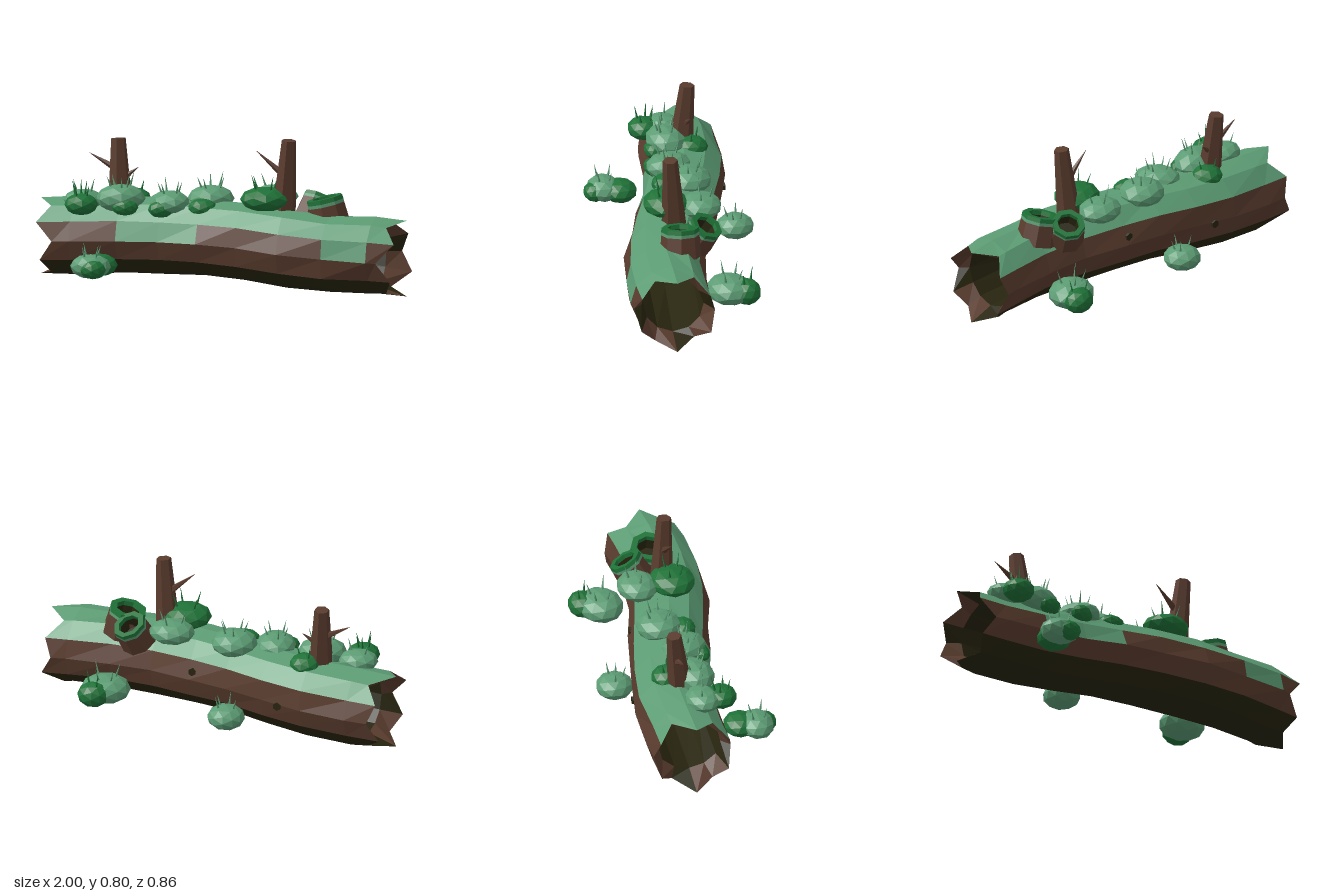
import * as THREE from 'three';

const mat = (name, color) => {
  const m = new THREE.MeshStandardMaterial({ color, flatShading: true });
  m.name = name;
  return m;
};

export function createModel() {
  const model = new THREE.Group();
  model.name = 'mossyLog';
  const bark = mat('bark brown', 0x5a3c2e);
  const dark = mat('dark wood', 0x28250f);
  const moss = mat('light moss', 0x5c9c74);
  const leaf = mat('dark moss', 0x1f7238);

  let seed = 7;
  const rand = () => (seed = (seed * 16807) % 2147483647) / 2147483647;
  const add = (parent, name, geo, material) => {
    const m = new THREE.Mesh(geo, material);
    m.name = name;
    parent.add(m);
    return m;
  };

  // Hollow log: twelve-sided rings along a gently winding centre line
  const SIDES = 12;
  const line = new THREE.CatmullRomCurve3([
    [-1, 0.225, -0.07], [-0.5, 0.247, -0.095], [0, 0.262, -0.015], [0.5, 0.235, 0.07], [1, 0.213, 0.03],
  ].map((p) => new THREE.Vector3(...p)));
  const ring = (r, xAt, jitter = 0) => Array.from({ length: SIDES }, (_, k) => {
    const x = xAt(k), a = (k / SIDES) * Math.PI * 2;
    const c = line.getPoint((x + 1) / 2);
    const rr = r + (rand() - 0.5) * jitter;
    return new THREE.Vector3(x, c.y + rr * Math.sin(a), c.z + rr * Math.cos(a) * 1.04);
  });
  const tooth = (side) => (k) => side * (k % 2 ? 1 - 0.02 * (k % 3) : 0.89 + 0.015 * (k % 4));
  const stations = [-0.8, -0.55, -0.32, -0.1, 0.12, 0.36, 0.6, 0.84];
  const outer = [ring(0.2, tooth(-1)), ...stations.map((x) => ring(0.203, () => x, 0.018)), ring(0.2, tooth(1))];
  const inner = [-0.85, -0.4, 0, 0.4, 0.85].map((x) => ring(0.155, () => x, 0.015));

  const buckets = new Map([[bark, []], [dark, []], [moss, []]]);
  const quad = (m, a, b, c, d) => [a, b, c, a, c, d].forEach((p) => buckets.get(m).push(p.x, p.y, p.z));
  const shell = (rings, pick, inward) => {
    for (let i = 0; i < rings.length - 1; i++) {
      for (let k = 0; k < SIDES; k++) {
        const n = (k + 1) % SIDES, p = rings[i], q = rings[i + 1];
        if (inward) quad(pick(i, k), p[k], p[n], q[n], q[k]);
        else quad(pick(i, k), p[k], q[k], q[n], p[n]);
      }
    }
  };
  // Moss over the top, hanging lower on the front in two patches; dark underside
  shell(outer, (i, k) => {
    if (k >= 1 && k <= 4) return moss;
    if (k === 0) return i === 2 || i === 3 || i === 7 ? moss : bark;
    return k >= 7 && k <= 10 ? dark : bark;
  }, false);
  shell(inner, () => dark, true);
  // Splintered rims joining outside and inside
  for (let k = 0; k < SIDES; k++) {
    const n = (k + 1) % SIDES, m = k % 3 === 2 ? dark : bark;
    const [lo, li, ro, ri] = [outer[0], inner[0], outer[outer.length - 1], inner[inner.length - 1]];
    quad(m, ro[k], ri[k], ri[n], ro[n]);
    quad(m, lo[k], lo[n], li[n], li[k]);
  }
  const log = new THREE.Group();
  log.name = 'log';
  model.add(log);
  for (const [m, pos] of buckets) {
    const g = new THREE.BufferGeometry();
    g.setAttribute('position', new THREE.Float32BufferAttribute(pos, 3));
    g.computeVertexNormals();
    add(log, m === bark ? 'logBark' : m === dark ? 'logDarkWood' : 'logMoss', g, m);
  }

  // Knots on the back
  for (const [x, y] of [[0.1, 0.3], [-0.42, 0.24]]) {
    const c = line.getPoint((x + 1) / 2);
    const knot = add(log, 'knot', new THREE.CylinderGeometry(0.022, 0.022, 0.02, 6), dark);
    knot.position.set(x, y, c.z - 0.2);
    knot.rotation.x = -Math.PI / 2;
  }

  // Tapered rod between two points
  const UP = new THREE.Vector3(0, 1, 0);
  const rod = (parent, name, from, to, r0, r1, sides, material) => {
    const a = new THREE.Vector3(...from), b = new THREE.Vector3(...to);
    const d = b.clone().sub(a);
    const m = add(parent, name, new THREE.CylinderGeometry(r1, r0, d.length(), sides), material);
    m.position.copy(a).add(b).multiplyScalar(0.5);
    m.quaternion.setFromUnitVectors(UP, d.normalize());
  };

  // Broken branches with thorns
  const branches = [
    { from: [-0.575, 0.4, -0.075], to: [-0.595, 0.75, -0.11], thorns: [[[-0.58, 0.58, -0.1], [-0.745, 0.67, -0.09]], [[-0.58, 0.53, -0.09], [-0.49, 0.6, -0.12]]] },
    { from: [0.33, 0.4, 0.01], to: [0.365, 0.807, 0.032], thorns: [[[0.35, 0.61, 0.02], [0.19, 0.745, 0.035]]] },
  ];
  for (const { from, to, thorns } of branches) {
    const g = new THREE.Group();
    g.name = 'branch';
    model.add(g);
    rod(g, 'branchStem', from, to, 0.065, 0.039, 6, bark);
    for (const [a, b] of thorns) rod(g, 'thorn', a, b, 0.024, 0.001, 5, bark);
  }

  // Hollow stumps, ringed with moss
  const stump = (x, y, z, s, rx, rz) => {
    const g = new THREE.Group();
    g.name = 'hollowStump';
    const lathe = (name, pts, m) =>
      add(g, name, new THREE.LatheGeometry(pts.map((p) => new THREE.Vector2(...p)), 8), m);
    lathe('stumpBark', [[0.108, -0.05], [0.1, 0.065]], bark);
    lathe('stumpLightBand', [[0.1, 0.065], [0.1, 0.082]], moss);
    lathe('stumpRim', [[0.1, 0.082], [0.098, 0.105], [0.066, 0.105], [0.064, 0.08]], leaf);
    lathe('stumpHollow', [[0.064, 0.08], [0.06, 0.02], [0, 0.02]], dark);
    g.position.set(x, y, z);
    g.scale.setScalar(s);
    g.rotation.set(rx, 0, rz);
    model.add(g);
  };
  stump(0.57, 0.405, -0.01, 1, 0, 0.24);
  stump(0.46, 0.405, -0.11, 0.9, -0.5, -0.25);

  // Moss cushions: centre, radii, light or dark, number of grass blades
  const cushions = [
    [-0.6, 0.14, 0.24, 0.095, 0.06, 0.09, leaf, 0],
    [-0.625, 0.145, 0.325, 0.108, 0.065, 0.09, moss, 4],
    [-0.6, 0.138, 0.37, 0.07, 0.052, 0.062, leaf, 0],
    [-0.75, 0.44, 0.01, 0.105, 0.055, 0.09, moss, 2],
    [-0.735, 0.432, 0.11, 0.088, 0.058, 0.085, leaf, 5],
    [-0.55, 0.455, 0.005, 0.13, 0.075, 0.105, moss, 5],
    [-0.51, 0.43, -0.13, 0.085, 0.06, 0.085, leaf, 2],
    [-0.51, 0.42, 0.07, 0.07, 0.045, 0.05, leaf, 0],
    [-0.285, 0.445, 0.005, 0.105, 0.063, 0.125, moss, 5],
    [-0.31, 0.42, 0.08, 0.072, 0.045, 0.05, leaf, 0],
    [-0.09, 0.46, -0.09, 0.123, 0.07, 0.12, moss, 5],
    [-0.1, 0.43, 0.04, 0.078, 0.05, 0.065, leaf, 0],
    [-0.15, 0.15, -0.335, 0.1, 0.065, 0.1, moss, 4],
    [0.565, 0.15, -0.265, 0.132, 0.075, 0.12, moss, 4],
    [0.595, 0.148, -0.355, 0.085, 0.068, 0.075, leaf, 2],
    [0.24, 0.495, 0.05, 0.13, 0.065, 0.12, leaf, 4],
    [0.245, 0.48, -0.135, 0.122, 0.062, 0.108, moss, 3],
  ];
  for (const [x, y, z, rx, ry, rz, m, blades] of cushions) {
    const g = new THREE.Group();
    g.name = 'mossCushion';
    model.add(g);
    const body = add(g, m === moss ? 'lightCushion' : 'darkCushion', new THREE.IcosahedronGeometry(1, 1), m);
    body.scale.set(rx, ry, rz);
    body.position.set(x, y, z);
    body.rotation.y = rand() * 0.5;
    for (let i = 0; i < blades; i++) {
      const a = (i / blades) * Math.PI * 2 + rand();
      const dx = Math.cos(a) * rx, dz = Math.sin(a) * rz;
      rod(g, 'grassBlade', [x + dx * 0.4, y + ry * 0.75, z + dz * 0.4],
        [x + dx * 0.6, y + ry + 0.04 + rand() * 0.025, z + dz * 0.6], 0.007, 0.0005, 4, m);
    }
  }
  return model;
}
